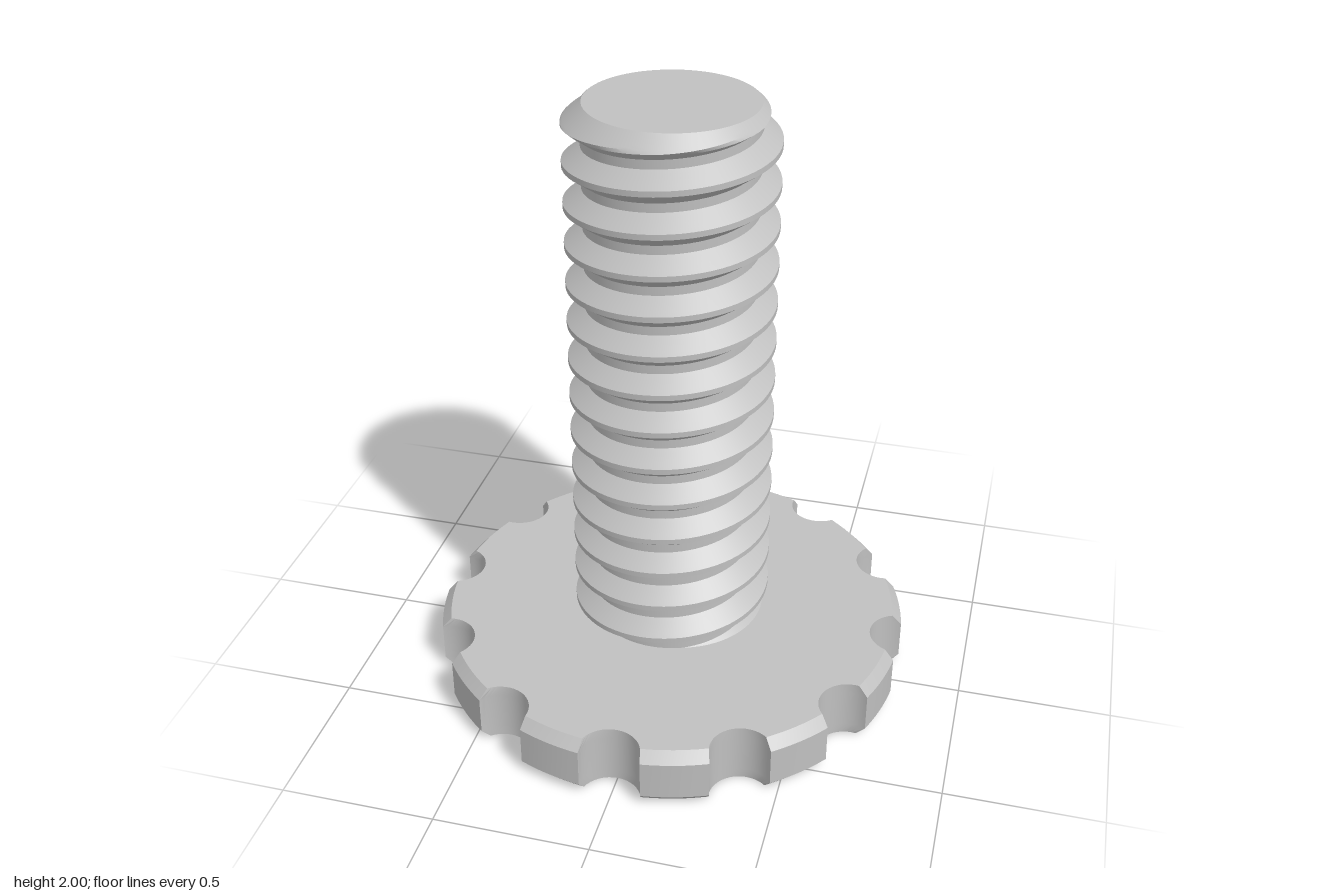
import * as THREE from 'three';
import { toCreasedNormals } from 'three/addons/utils/BufferGeometryUtils.js';

const V = (x, y, z) => new THREE.Vector3(x, y, z);

// Skin between successive rings of equal point count, with sharp edges kept
function loft(rings, closed = true) {
  const pos = [], e1 = V(0, 0, 0), e2 = V(0, 0, 0);
  const tri = (a, b, c) => {
    if (e1.subVectors(b, a).cross(e2.subVectors(c, a)).length() < 1e-8) return;
    for (const p of [a, b, c]) pos.push(p.x, p.y, p.z);
  };
  for (let k = 0; k + 1 < rings.length; k++) {
    const a = rings[k], b = rings[k + 1], n = a.length;
    for (let i = 0; i < (closed ? n : n - 1); i++) {
      const j = (i + 1) % n;
      tri(a[i], a[j], b[j]);
      tri(a[i], b[j], b[i]);
    }
  }
  const g = new THREE.BufferGeometry();
  g.setAttribute('position', new THREE.Float32BufferAttribute(pos, 3));
  return toCreasedNormals(g, 0.45);
}

// Flat cap at height y, facing up (1) or down (-1)
function cap(points, y, facing, hole) {
  const shape = new THREE.Shape(points);
  if (hole) shape.holes.push(new THREE.Path(hole));
  return new THREE.ShapeGeometry(shape).rotateX(-facing * Math.PI / 2).translate(0, y, 0);
}

const lift = (points, y) => points.map(p => V(p.x, y, p.y));

// Round head outline with twelve scalloped grip notches
function headOutline(R) {
  const c = 0.786, r = 0.099, step = Math.PI / 6, pts = [];
  const u = (R * R + c * c - r * r) / (2 * c), v = Math.sqrt(R * R - u * u);
  const phi = Math.atan2(v, u - c), delta = Math.atan2(v, u);
  const add = (rad, ang) => pts.push(new THREE.Vector2(rad * Math.sin(ang), rad * Math.cos(ang)));
  for (let k = 0; k < 12; k++) {
    for (let i = 0; i <= 16; i++) {
      const a = -phi - (2 * Math.PI - 2 * phi) * i / 16;
      const x = c + r * Math.cos(a), t = r * Math.sin(a);
      add(Math.hypot(x, t), k * step + Math.atan2(t, x));
    }
    for (let i = 1; i < 6; i++) add(R, k * step + delta + (step - 2 * delta) * i / 6);
  }
  return pts;
}

// Plus-shaped outline of the driver recess
function crossOutline(L, w) {
  const pts = [];
  for (let k = 0; k < 4; k++) {
    const a = k * Math.PI / 2, s = Math.sin(a), c = Math.cos(a);
    for (const [u, v] of [[L, -w], [L, w], [w, w]])
      pts.push(new THREE.Vector2(u * s + v * c, u * c - v * s));
  }
  return pts;
}

// Right-handed helical thread, trimmed by the head below and a bevel at the tip
function threadGeometry() {
  const pitch = 0.1308, root = 0.27, crest = 0.327, seg = 72, y0 = 0.272, yMin = 0.19, yMax = 2;
  const corners = [[-0.0654, root], [-0.051, root], [-0.009, crest], [0.009, crest], [0.051, root], [0.0654, root]];
  const profile = [];
  for (let i = 0; i + 1 < corners.length; i++)
    for (let j = 0; j < 4; j++)
      profile.push([0, 1].map(d => THREE.MathUtils.lerp(corners[i][d], corners[i + 1][d], j / 4)));
  profile.push(corners[corners.length - 1]);
  const rings = [];
  for (let i = -2 * seg; i <= 15 * seg; i++) {
    const a = i / seg * Math.PI * 2;
    rings.push(profile.map(([dy, rad]) => {
      const y = THREE.MathUtils.clamp(y0 + pitch * i / seg + dy, yMin, yMax);
      const r = Math.min(rad, 0.264 + (yMax - y) * 1.1);
      return V(r * Math.sin(a), y, r * Math.cos(a));
    }));
  }
  // Strips run along the helix, so reverse the profile to face outward
  return loft(rings.map(r => r.reverse()), false);
}

export function createModel() {
  const steel = new THREE.MeshStandardMaterial({ color: 0xc0c0c0 });
  steel.name = 'steel grey';
  const model = new THREE.Group();
  model.name = 'thumbScrew';
  const add = (name, geometry, parent = model) => {
    const mesh = new THREE.Mesh(geometry, steel);
    mesh.name = name;
    parent.add(mesh);
    return mesh;
  };

  // Head: bevelled rim, top and base
  const head = new THREE.Group();
  head.name = 'head';
  model.add(head);
  const wide = headOutline(0.787), narrow = headOutline(0.756);
  add('headRim', loft([lift(narrow, 0), lift(wide, 0.035), lift(wide, 0.165), lift(narrow, 0.2)]), head);
  add('headTop', cap(narrow, 0.2, 1), head);

  // Tapered cross recess in the base
  const mouth = crossOutline(0.22, 0.045), floor = crossOutline(0.09, 0.025);
  add('headBase', cap(narrow, 0, -1, mouth), head);
  add('recessWalls', loft([lift(floor, 0.17), lift(mouth, 0)]), head);
  add('recessFloor', cap(floor, 0.17, -1), head);

  // Threaded shank and flat tip
  add('thread', threadGeometry());
  add('tip', new THREE.CircleGeometry(0.264, 72).rotateX(-Math.PI / 2).translate(0, 2, 0));
  return model;
}
